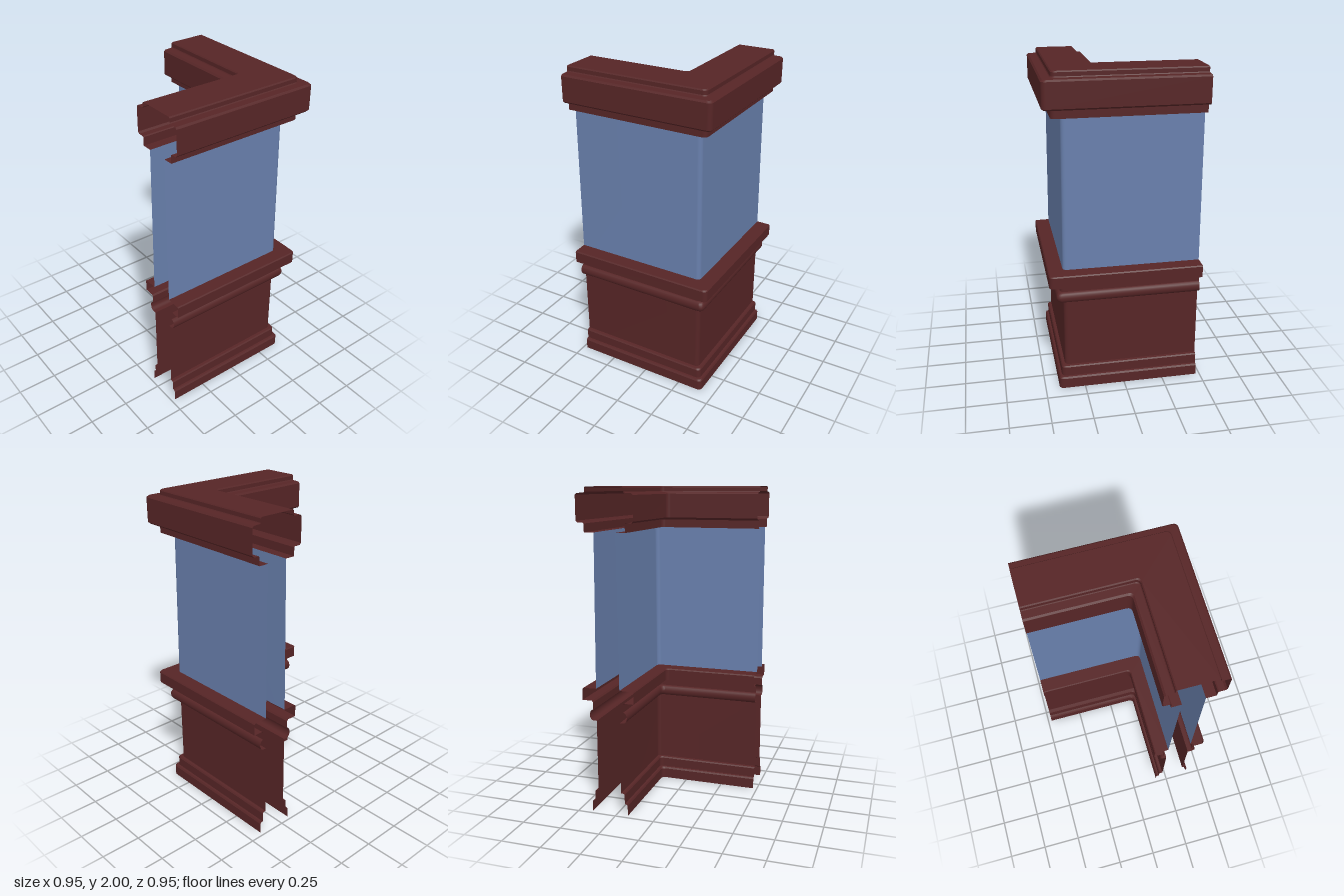
import * as THREE from 'three';
import { mergeGeometries } from 'three/addons/utils/BufferGeometryUtils.js';

const END = -0.475;      // where both arms are cut off
const MIRROR = 0.588;    // outer offset + inner offset
const RADIUS = 0.026;    // rounding of the corner
const ARC = 4;

// L-shaped path at offset d: along the front arm, round the corner, along the side arm
function cornerPath(d) {
  const pts = [[END, d]];
  const c = d - RADIUS;
  for (let i = 0; i <= ARC; i++) {
    const t = (i / ARC) * Math.PI / 2;
    pts.push([c + RADIUS * Math.sin(t), c + RADIUS * Math.cos(t)]);
  }
  pts.push([d, END]);
  return pts;
}

// Smooth strip: a run of [offset, height] points swept along the path
function strip(profile) {
  const pos = [], idx = [], n = ARC + 3;
  for (const [d, y] of profile) {
    for (const [x, z] of cornerPath(d)) pos.push(x, y, z);
  }
  for (let j = 0; j < profile.length - 1; j++) {
    for (let i = 0; i < n - 1; i++) {
      const a = j * n + i, b = a + 1, c = a + n, e = c + 1;
      idx.push(a, b, e, a, e, c);
    }
  }
  const g = new THREE.BufferGeometry();
  g.setAttribute('position', new THREE.Float32BufferAttribute(pos, 3));
  g.setIndex(idx);
  g.computeVertexNormals();
  return g;
}

// Hard-edged profile: one strip per segment
const hardStrips = (p) => p.slice(1).map((q, i) => strip([p[i], q]));
// The same profile on the inner side of the wall
const inner = (p) => p.map(([d, y]) => [MIRROR - d, y]).reverse();

export function createModel() {
  const group = new THREE.Group();
  const red = new THREE.MeshStandardMaterial({ color: 0x562526, side: THREE.DoubleSide });
  red.name = 'dark red wood';
  const blue = new THREE.MeshStandardMaterial({ color: 0x687fac, side: THREE.DoubleSide });
  blue.name = 'blue plaster';

  const add = (name, material, strips) => {
    const mesh = new THREE.Mesh(mergeGeometries(strips), material);
    mesh.name = name;
    group.add(mesh);
  };
  const addBothSides = (name, material, profile, make = hardStrips) => {
    add(name + 'Outer', material, make(profile));
    add(name + 'Inner', material, make(inner(profile)));
  };

  // Stepped baseboard
  addBothSides('baseboard', red, [
    [0.412, 0], [0.412, 0.065], [0.405, 0.075], [0.393, 0.077],
    [0.393, 0.135], [0.387, 0.143], [0.37, 0.145],
  ]);

  // Wainscot panel
  addBothSides('wainscot', red, [[0.37, 0.145], [0.37, 0.6]]);

  // Half-round bead under the rail
  const bead = [[0.37, 0.6]];
  for (let i = 0; i <= 8; i++) {
    const t = -Math.PI / 2 + (i / 8) * Math.PI;
    bead.push([0.392 + 0.024 * Math.cos(t), 0.634 + 0.034 * Math.sin(t)]);
  }
  addBothSides('bead', red, bead, (p) => [strip(p)]);

  // Neck and chair rail
  addBothSides('chairRail', red, [
    [0.392, 0.668], [0.392, 0.715], [0.4, 0.725], [0.461, 0.725],
    [0.461, 0.795], [0.455, 0.802], [0.37, 0.803],
  ]);

  // Painted upper wall, leaning in slightly
  addBothSides('upperWall', blue, [[0.37, 0.803], [0.361, 1.74]]);

  // Crown moulding, carried over the top to the inner side
  const crown = [
    [0.361, 1.74], [0.422, 1.74], [0.422, 1.79], [0.428, 1.795], [0.463, 1.795],
    [0.473, 1.805], [0.473, 1.953], [0.463, 1.963], [0.418, 1.965],
    [0.414, 1.97], [0.414, 1.993], [0.408, 2],
  ];
  add('crownMoulding', red, hardStrips([...crown, ...inner(crown)]));

  return group;
}
